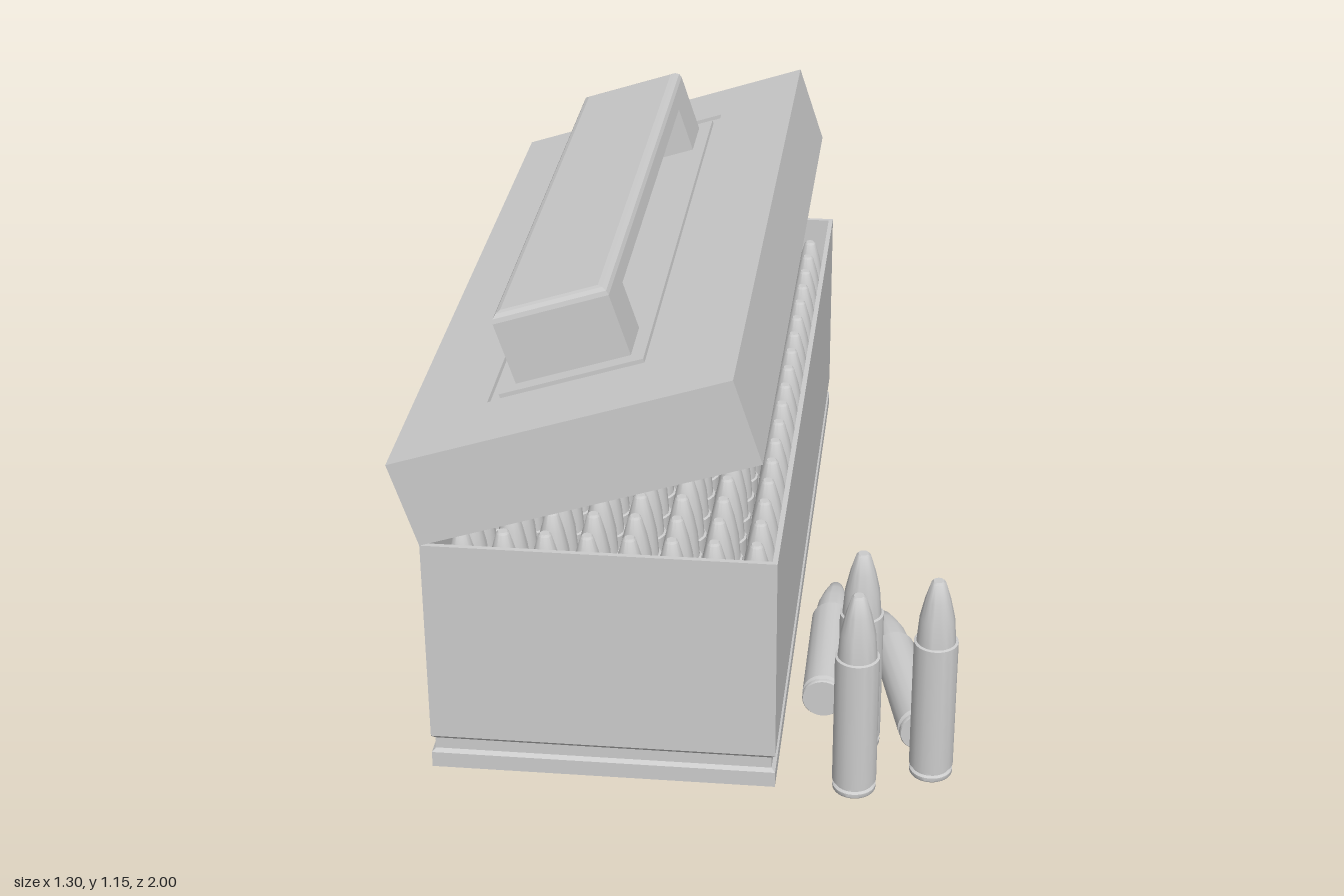
import * as THREE from 'three';
import { toCreasedNormals } from 'three/addons/utils/BufferGeometryUtils.js';

const grey = new THREE.MeshStandardMaterial({ color: 0xcccccc });

function add(parent, name, geometry) {
  const mesh = new THREE.Mesh(geometry, grey);
  mesh.name = name;
  parent.add(mesh);
  return mesh;
}

// Rectangle cross-section [y, x0, x1, z0, z1], shrunk by an inset
const rect = (y, [x0, x1, z0, z1], inset = 0) =>
  [y, x0 + inset, x1 - inset, z0 + inset, z1 - inset];

// Skin a series of rectangles and close both ends, flat shaded
function loft(sections) {
  const loops = sections.map(([y, x0, x1, z0, z1]) =>
    [[x0, y, z1], [x1, y, z1], [x1, y, z0], [x0, y, z0]]);
  const pos = [];
  const quad = (a, b, c, d) => pos.push(...a, ...b, ...c, ...a, ...c, ...d);
  for (let i = 0; i < loops.length - 1; i++) {
    const lo = loops[i], hi = loops[i + 1];
    for (let k = 0; k < 4; k++) {
      const n = (k + 1) % 4;
      quad(lo[k], lo[n], hi[n], hi[k]);
    }
  }
  quad(...[...loops[0]].reverse());
  quad(...loops[loops.length - 1]);
  const geometry = new THREE.BufferGeometry();
  geometry.setAttribute('position', new THREE.Float32BufferAttribute(pos, 3));
  geometry.computeVertexNormals();
  return geometry;
}

// Cartridge standing on its base: rim, extractor groove, case, pointed tip
function cartridgeGeometry(segments) {
  const profile = [
    [0, 0], [0.049, 0], [0.051, 0.003], [0.051, 0.012], [0.045, 0.016],
    [0.045, 0.021], [0.052, 0.026], [0.052, 0.365], [0.046, 0.367],
    [0.041, 0.43], [0.03, 0.48], [0.017, 0.523], [0.012, 0.528], [0, 0.528],
  ].map(([r, y]) => new THREE.Vector2(r, y));
  return toCreasedNormals(new THREE.LatheGeometry(profile, segments), 0.6);
}

export function createModel() {
  const model = new THREE.Group();
  model.name = 'ammunitionBox';

  // Open box with a groove around its foot
  const box = [-0.585, 0.235, -1, 0.97];
  add(model, 'box', loft([
    rect(0, box), rect(0.04, box), rect(0.048, box, 0.009), rect(0.077, box, 0.009),
    rect(0.087, box), rect(0.61, box), rect(0.61, box, 0.012), rect(0.03, box, 0.012),
  ]));

  // Lid, hollow underneath, tilted about the left top edge of the box
  const lid = new THREE.Group();
  lid.name = 'lid';
  lid.position.set(-0.585, 0.61, 0);
  lid.rotation.z = 0.314;
  model.add(lid);
  const cover = [0, 0.825, -1, 0.97];
  const grooveOuter = [0.207, 0.608, -0.795, 0.765];
  const grooveInner = [0.23, 0.585, -0.767, 0.737];
  add(lid, 'lidShell', loft([
    rect(0.19, cover, 0.012), rect(0, cover, 0.012), rect(0, cover), rect(0.216, cover),
    rect(0.216, grooveOuter), rect(0.206, grooveOuter),
    rect(0.206, grooveInner), rect(0.216, grooveInner),
  ]));

  // Handle: bar with rounded top edges on two legs
  const grip = [0.266, 0.55, -0.73, 0.7];
  add(lid, 'handleBar', loft([
    rect(0.337, grip), rect(0.373, grip), rect(0.384, grip, 0.003),
    rect(0.392, grip, 0.011), rect(0.395, grip, 0.022),
  ]));
  for (const [z0, z1] of [[-0.73, -0.57], [0.555, 0.7]]) {
    const leg = [0.266, 0.55, z0, z1];
    add(lid, 'handleLeg', loft([rect(0.21, leg), rect(0.337, leg)]));
  }

  // Cartridges packed upright in rows inside the box
  const packed = new THREE.Group();
  packed.name = 'packedCartridges';
  model.add(packed);
  const packedGeometry = cartridgeGeometry(14);
  const columns = 8, rows = 19;
  const stepX = 0.796 / columns, stepZ = 1.946 / rows;
  for (let i = 0; i < columns; i++) {
    for (let j = 0; j < rows; j++) {
      const round = add(packed, 'packedCartridge', packedGeometry);
      round.position.set(-0.573 + (i + 0.5) * stepX, 0.035, -0.988 + (j + 0.5) * stepZ);
      round.scale.set(0.94, 1, 0.94);
    }
  }

  // Loose cartridges beside the box: three standing, two lying
  const looseGeometry = cartridgeGeometry(32);
  for (const [x, z] of [[0.42, 0.76], [0.42, 0.948], [0.598, 0.865]]) {
    add(model, 'standingCartridge', looseGeometry).position.set(x, 0, z);
  }
  for (const [x, z, turn] of [[0.327, 0.668, 0], [0.571, 0.784, 0.22]]) {
    const round = add(model, 'lyingCartridge', looseGeometry);
    round.position.set(x, 0.052, z);
    round.rotation.set(-Math.PI / 2, turn, 0, 'YXZ');
  }

  return model;
}
